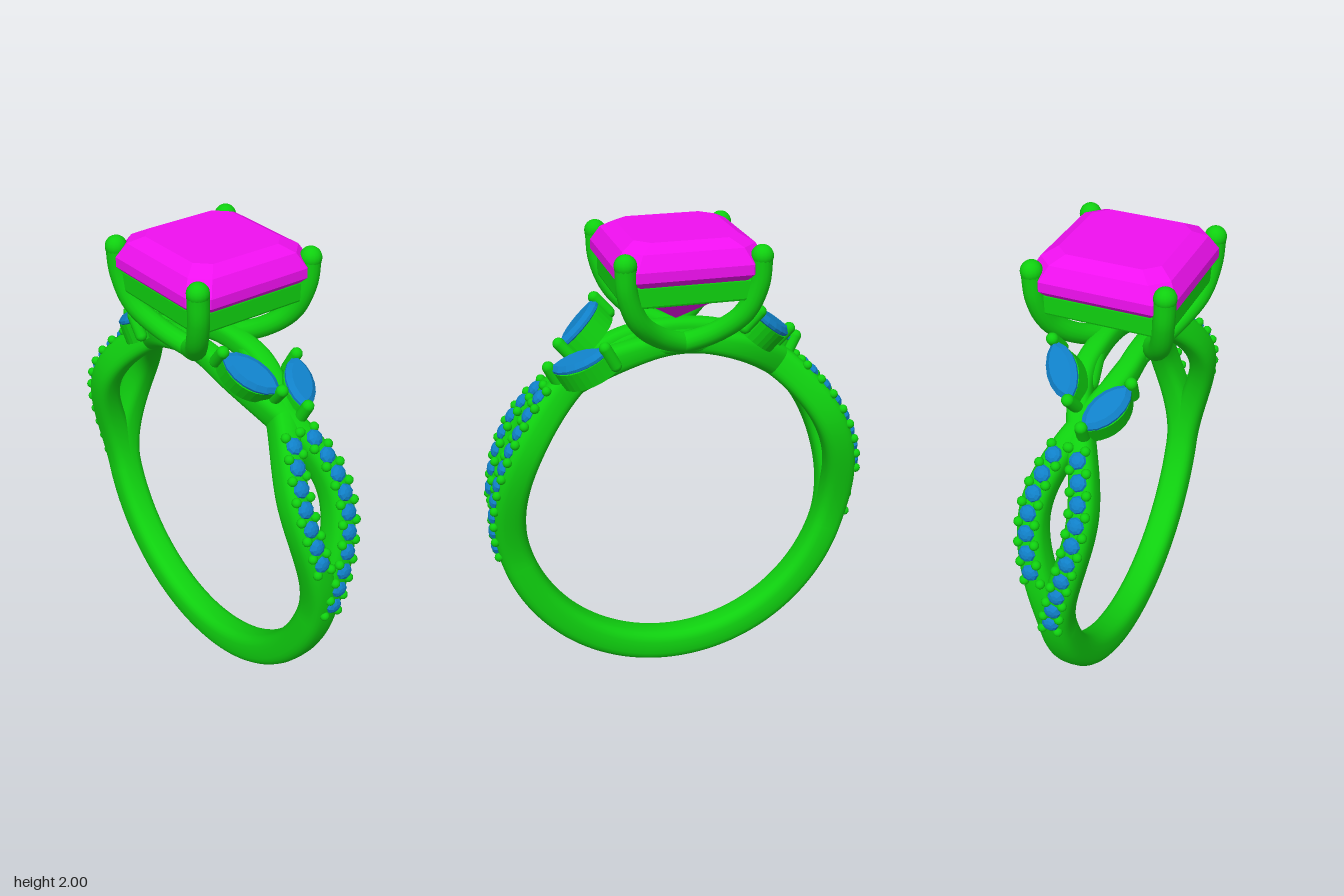
import * as THREE from 'three';
import { ConvexGeometry } from 'three/addons/geometries/ConvexGeometry.js';

const CY = 0.81; // height of the finger hole's centre
const metal = new THREE.MeshStandardMaterial({ color: 0x0fd00f });
const blue = new THREE.MeshStandardMaterial({ color: 0x1080c8, flatShading: true });
const pink = new THREE.MeshStandardMaterial({ color: 0xf010f0, flatShading: true });
const V = (x, y, z) => new THREE.Vector3(x, y, z);
const rad = THREE.MathUtils.degToRad;

function add(parent, name, geometry, material, pos) {
  const m = new THREE.Mesh(geometry, material);
  m.name = name;
  if (pos) m.position.copy(pos);
  parent.add(m);
  return m;
}

// Smooth interpolation through [angle, value] knots
function ease(knots, x) {
  for (let i = 1; i < knots.length; i++) {
    const [x0, v0] = knots[i - 1], [x1, v1] = knots[i];
    if (x <= x1) return v0 + (v1 - v0) * THREE.MathUtils.smoothstep(x, x0, x1);
  }
  return knots[knots.length - 1][1];
}
// Angle in degrees from the top of the ring, mirrored left and right
const fold = (deg) => { const a = ((deg % 360) + 360) % 360; return a > 180 ? 360 - a : a; };
const sway = (deg) => ease([[0, -0.085], [12, -0.085], [65, 0.1], [108, 0], [180, 0]], fold(deg));
const halfWidth = (deg) => ease([[0, 0.045], [65, 0.056], [110, 0.07], [180, 0.07]], fold(deg));
const inner = (deg) => ease([[0, 0.69], [40, 0.665], [180, 0.665]], fold(deg));
const outer = (deg) => ease([[0, 0.785], [40, 0.8], [180, 0.81]], fold(deg));
const onRing = (deg, r, z) => V(r * Math.sin(rad(deg)), CY + r * Math.cos(rad(deg)), z);

// One closed strand of the split band, swept with a rounded-square section
function strandGeometry(sign) {
  const N = 180, M = 24, pos = [], idx = [];
  const centre = (d) => onRing(d, (inner(d) + outer(d)) / 2, sign * sway(d));
  const soft = (v) => Math.sign(v) * Math.abs(v) ** 0.7;
  for (let i = 0; i < N; i++) {
    const d = (i / N) * 360, p = centre(d);
    const tangent = centre(d + 0.5).sub(centre(d - 0.5)).normalize();
    const out = onRing(d, 1, 0).sub(V(0, CY, 0));
    const side = tangent.cross(out).normalize();
    for (let j = 0; j < M; j++) {
      const t = (j / M) * Math.PI * 2;
      const q = p.clone()
        .addScaledVector(out, soft(Math.cos(t)) * (outer(d) - inner(d)) / 2)
        .addScaledVector(side, soft(Math.sin(t)) * halfWidth(d));
      pos.push(q.x, q.y, q.z);
      const k = (j + 1) % M, a = i * M, b = ((i + 1) % N) * M;
      idx.push(a + j, a + k, b + j, a + k, b + k, b + j);
    }
  }
  const g = new THREE.BufferGeometry();
  g.setAttribute('position', new THREE.Float32BufferAttribute(pos, 3));
  g.setIndex(idx);
  g.computeVertexNormals();
  return g;
}

// Pointed oval outline
function marquiseShape(l, w, Type = THREE.Shape) {
  const s = new Type();
  s.moveTo(-l, 0);
  s.bezierCurveTo(-l * 0.5, -w * 1.33, l * 0.5, -w * 1.33, l, 0);
  s.bezierCurveTo(l * 0.5, w * 1.33, -l * 0.5, w * 1.33, -l, 0);
  return s;
}

// Pointed side stone in its setting, lying between two tips and facing "up"
function sideStone(tipA, tipB, up) {
  const g = new THREE.Group();
  g.name = 'sideStone';
  const l = tipA.distanceTo(tipB) / 2;
  const bezel = marquiseShape(l * 0.98, 0.064);
  bezel.holes.push(marquiseShape(l * 0.75, 0.042, THREE.Path));
  const wall = add(g, 'sideStoneBezel',
    new THREE.ExtrudeGeometry(bezel, { depth: 0.085, bevelEnabled: false, curveSegments: 10 }), metal);
  wall.position.z = -0.09;
  add(g, 'sideStoneGem', new THREE.ExtrudeGeometry(marquiseShape(l * 0.82, 0.042), {
    depth: 0.012, bevelThickness: 0.016, bevelSize: 0.02, bevelSegments: 1, curveSegments: 6,
  }), blue);
  for (const s of [-1, 1]) {
    const claw = add(g, 'sideStoneClaw', new THREE.CapsuleGeometry(0.025, 0.09, 6, 12), metal, V(s * l, 0, -0.02));
    claw.rotation.x = Math.PI / 2;
  }
  const x = tipB.clone().sub(tipA).normalize();
  const y = up.clone().cross(x).normalize();
  g.quaternion.setFromRotationMatrix(new THREE.Matrix4().makeBasis(x, y, x.clone().cross(y)));
  g.position.copy(tipA).add(tipB).multiplyScalar(0.5);
  return g;
}

// Row of small stones with bead pairs between them, set along one strand
function paveRow(sign, count) {
  const g = new THREE.Group();
  g.name = 'paveRow';
  const step = 5.8, start = 47;
  const gem = new THREE.SphereGeometry(0.036, 8, 6);
  const bead = new THREE.SphereGeometry(0.02, 12, 8);
  for (let i = 0; i <= count; i++) {
    const d = start + i * step, e = d - step / 2;
    if (i < count) {
      const m = add(g, 'paveStone', gem, blue, onRing(d, outer(d) - 0.001, sign * sway(d)));
      m.scale.y = 0.6;
      m.rotation.z = -rad(d);
    }
    for (const s of [-1, 1])
      add(g, 'paveBead', bead, metal, onRing(e, outer(e) - 0.001, sign * sway(e) + s * 0.034));
  }
  return g;
}

// Step-cut square centre stone with clipped corners
function centreStone() {
  const pts = [V(0, 1.62, 0)];
  const rings = [[0.19, 0.03, 1.76], [0.3, 0.07, 1.87], [0.3, 0.07, 1.91], [0.265, 0.065, 1.97], [0.21, 0.055, 2]];
  for (const [h, c, y] of rings)
    for (const sx of [-1, 1]) for (const sz of [-1, 1])
      pts.push(V(sx * h, y, sz * (h - c)), V(sx * (h - c), y, sz * h));
  return new ConvexGeometry(pts);
}

// Square rail under the centre stone
function railGeometry() {
  const square = (h, Type) => new Type([[-h, -h], [h, -h], [h, h], [-h, h]].map(([x, y]) => new THREE.Vector2(x, y)));
  const s = square(0.265, THREE.Shape);
  s.holes.push(square(0.19, THREE.Path));
  const g = new THREE.ExtrudeGeometry(s, { depth: 0.07, bevelThickness: 0.01, bevelSize: 0.01, bevelSegments: 2 });
  return g.rotateX(-Math.PI / 2).translate(0, 1.77, 0);
}

export function createModel() {
  const ring = new THREE.Group();
  ring.name = 'ring';

  for (const s of [-1, 1]) add(ring, 'bandStrand', strandGeometry(s), metal);

  add(ring, 'centreStone', centreStone(), pink);
  add(ring, 'galleryRail', railGeometry(), metal);

  // Corner prongs sweep down, cross under the stone and merge into the band
  for (const sx of [-1, 1]) for (const sz of [-1, 1]) {
    const path = new THREE.CatmullRomCurve3([
      [0.27, 1.935, 0.27], [0.262, 1.82, 0.262], [0.215, 1.7, 0.235],
      [0.12, 1.61, 0.175], [0, 1.555, 0.115], [-0.13, 1.535, 0.08], [-0.26, 1.49, 0.05],
    ].map(([x, y, z]) => V(sx * x, y, sz * z)));
    add(ring, 'prong', new THREE.TubeGeometry(path, 40, 0.043, 14), metal);
    add(ring, 'prongTip', new THREE.SphereGeometry(0.045, 16, 12), metal, path.getPoint(0));
    add(ring, 'prongEnd', new THREE.SphereGeometry(0.043, 14, 10), metal, path.getPoint(1));
  }

  // Shoulder stones on one side, repeated by a half turn
  for (const turn of [0, Math.PI]) {
    const shoulder = new THREE.Group();
    shoulder.name = turn ? 'rightShoulder' : 'leftShoulder';
    shoulder.add(
      sideStone(V(0.32, 1.555, -0.16), V(0.53, 1.455, -0.045), V(0.45, 0.88, -0.1)),
      sideStone(V(0.285, 1.66, 0.175), V(0.465, 1.525, 0.03), V(0.6, 0.75, 0.15)),
      paveRow(1, 7),
      paveRow(-1, 10),
    );
    shoulder.rotation.y = turn;
    ring.add(shoulder);
  }
  return ring;
}
